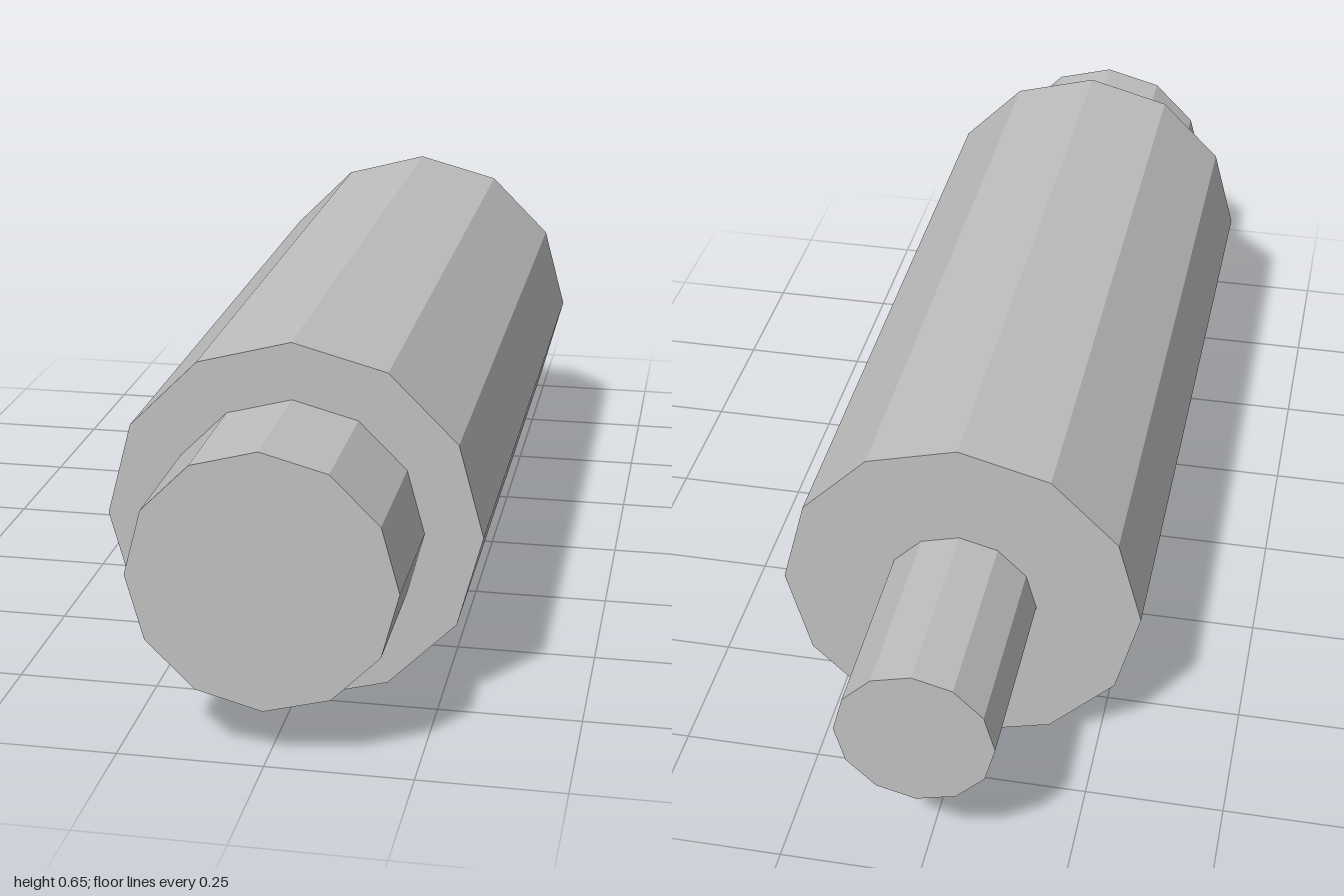
import * as THREE from 'three';

const SIDES = 12;
const AXIS_Y = 0.325;

export function createModel() {
  const model = new THREE.Group();
  model.name = 'roller';

  const grey = new THREE.MeshStandardMaterial({ color: 0xbfbfbf, flatShading: true });
  grey.name = 'light grey';

  // Twelve-sided cylinder lying along z, with a corner pointing straight up
  const addSection = (name, radius, zBack, zFront) => {
    const geometry = new THREE.CylinderGeometry(radius, radius, zFront - zBack, SIDES);
    geometry.rotateX(Math.PI / 2);
    const mesh = new THREE.Mesh(geometry, grey);
    mesh.name = name;
    mesh.position.set(0, AXIS_Y, (zBack + zFront) / 2);
    model.add(mesh);
  };

  addSection('frontCollar', 0.225, 0.75, 1);
  addSection('mainBody', 0.325, -0.637, 0.75);
  addSection('rearShaft', 0.1375, -1, -0.637);

  return model;
}
